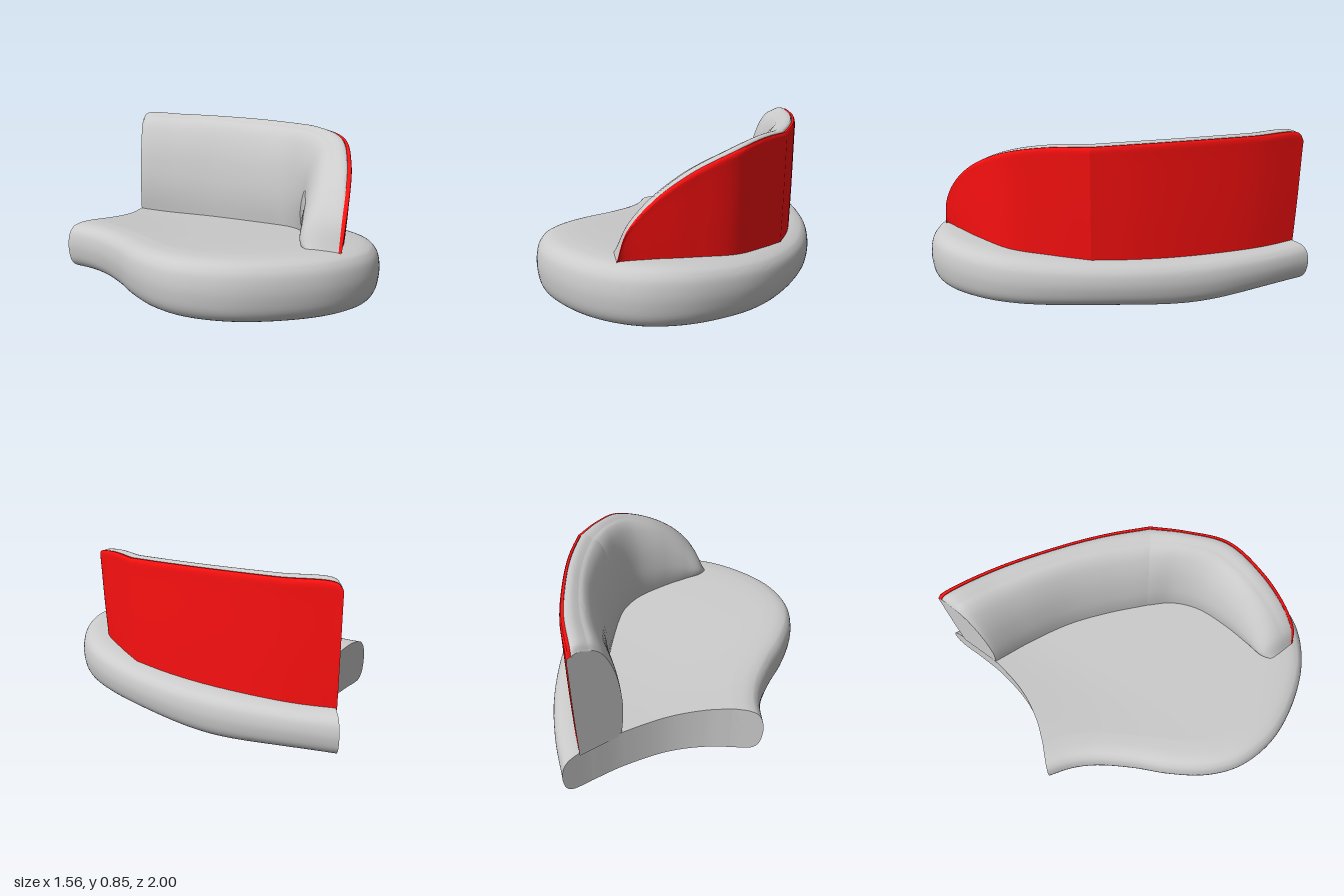
import * as THREE from 'three';
import { toCreasedNormals } from 'three/addons/utils/BufferGeometryUtils.js';

const V = (x, y, z) => new THREE.Vector3(x, y, z);
const grey = new THREE.MeshStandardMaterial({ color: 0xcccccc, side: THREE.DoubleSide });
const red = new THREE.MeshStandardMaterial({ color: 0xff1010, side: THREE.DoubleSide });
const smooth = (a, b, v) => {
  const t = Math.min(1, Math.max(0, (v - a) / (b - a)));
  return t * t * (3 - 2 * t);
};

// Heights of the seat's gently sloping top and bottom
const seatTop = (x, z) =>
  0.325 - 0.085 * smooth(-1, 0.6, -z) * (0.5 + 0.5 * smooth(-0.78, -0.1, x));
const seatBottom = (x, z) =>
  0.03 - 0.03 * Math.exp(-((x - 0.2) ** 2) / 0.15 - (z + 0.5) ** 2 / 0.1);

// Rows of cross-sections joined into a skin; the list of caps closes the first or last row
function skin(name, rows, material, caps = []) {
  const pos = [], index = [], m = rows[0].length;
  rows.forEach(r => r.forEach(p => pos.push(p.x, p.y, p.z)));
  for (let i = 0; i < rows.length - 1; i++) {
    for (let j = 0; j < m - 1; j++) {
      const a = i * m + j, b = a + m;
      index.push(a, a + 1, b, b, a + 1, b + 1);
    }
  }
  for (const i of caps) {
    const c = V(0, 0, 0);
    rows[i].forEach(p => c.addScaledVector(p, 1 / m));
    const centre = pos.length / 3;
    pos.push(c.x, c.y, c.z);
    for (let j = 0; j < m; j++) {
      const a = i * m + j, b = i * m + (j + 1) % m;
      index.push(centre, ...(i === 0 ? [b, a] : [a, b]));
    }
  }
  const g = new THREE.BufferGeometry();
  g.setAttribute('position', new THREE.Float32BufferAttribute(pos, 3));
  g.setIndex(index);
  const mesh = new THREE.Mesh(toCreasedNormals(g, 0.6), material);
  mesh.name = name;
  return mesh;
}

const planCurve = pts => new THREE.CatmullRomCurve3(pts.map(([x, z]) => V(x, 0, z)));
const profileCurve = (pts, n) =>
  new THREE.SplineCurve(pts.map(([x, y]) => new THREE.Vector2(x, y))).getPoints(n);

// Seat: rounded rim around a free-form outline, cut off by a concave end wall
function makeSeat() {
  const N = 110, fill = 10;
  const rim = planCurve([
    [-0.24, -1], [0, -0.83], [0.25, -0.61], [0.5, -0.31], [0.68, 0], [0.765, 0.25], [0.775, 0.45],
    [0.72, 0.68], [0.6, 0.85], [0.4, 0.96], [0.15, 0.995], [-0.1, 0.96], [-0.3, 0.85],
    [-0.42, 0.7], [-0.5, 0.5], [-0.55, 0.3], [-0.62, 0.1], [-0.69, -0.02], [-0.78, -0.12],
  ]);
  // Rim profile: inset from the outline, height fraction
  const profile = profileCurve([
    [0.16, 0], [0.085, 0.01], [0.04, 0.06], [0.012, 0.2], [0, 0.42], [0, 0.6],
    [0.01, 0.77], [0.03, 0.88], [0.05, 0.93], [0.09, 0.975], [0.16, 1],
  ], 36);
  const endDir = [V(-0.2, 0, 0.98), V(0.83, 0, -0.55)];
  const inward = u => {
    const t = rim.getTangentAt(u), n = V(-t.z, 0, t.x);
    n.lerp(endDir[0], 1 - smooth(0, 0.08, u)).lerp(endDir[1], smooth(0.94, 1, u));
    return n.normalize();
  };
  const at = (u, d) => rim.getPointAt(u).addScaledVector(inward(u), d);
  const a = at(0, 0.16), b = at(1, 0.16);
  const end = planCurve([
    [a.x, a.z], [-0.32, -0.67], [-0.42, -0.45], [-0.54, -0.3], [b.x, b.z],
  ]);
  const rows = [];
  for (let i = 0; i <= N; i++) {
    const u = i / N, e = end.getPointAt(u), inner = at(u, 0.16);
    const row = [], mid = k => e.clone().lerp(inner, k / fill);
    for (let k = 0; k < fill; k++) {
      const p = mid(k);
      row.push(p.setY(seatBottom(p.x, p.z)));
    }
    for (const q of profile) {
      const p = at(u, q.x);
      row.push(p.setY(THREE.MathUtils.lerp(seatBottom(p.x, p.z), seatTop(p.x, p.z), q.y)));
    }
    for (let k = fill - 1; k >= 0; k--) {
      const p = mid(k);
      row.push(p.setY(seatTop(p.x, p.z)));
    }
    row.push(row[0].clone());
    rows.push(row);
  }
  return skin('seat', rows, grey, [0, N]);
}

// Backrest profile: fraction from outer to inner line, height fraction
const shell = profileCurve([[0.1, 0], [0.05, 0.4], [0.01, 0.85], [0, 0.95], [0.03, 0.985], [0.09, 0.985]], 16);
const band = profileCurve([[0.09, 0.98], [0.13, 0.998], [0.25, 1], [0.4, 0.975]], 10);
const cushion = profileCurve([
  [0.4, 0.975], [0.52, 0.955], [0.67, 0.885], [0.82, 0.75], [0.93, 0.58], [1, 0.36], [1, 0.18], [0.95, 0],
], 24);

// One backrest section swept between an outer top edge (x, y, z) and an inner line (x, z)
function makeRest(name, outerPts, innerPts, N, cap) {
  const outer = new THREE.CatmullRomCurve3(outerPts.map(p => V(...p)));
  const inner = planCurve(innerPts);
  const sweep = profile => Array.from({ length: N + 1 }, (_, i) => {
    const o = outer.getPoint(i / N), n = inner.getPoint(i / N);
    return profile.map(q => {
      const x = THREE.MathUtils.lerp(o.x, n.x, q.x), z = THREE.MathUtils.lerp(o.z, n.z, q.x);
      const base = seatTop(x, z) - 0.015;
      return V(x, base + Math.max(0.005, o.y - base) * q.y, z);
    });
  });
  const group = new THREE.Group();
  group.name = name;
  group.add(
    skin(name + 'OuterPanel', sweep(shell), red),
    skin(name + 'TopBand', sweep(band), grey),
    skin(name + 'Cushion', sweep(cushion), grey),
  );
  // End closure
  const section = sweep([...shell, ...band, ...cushion]);
  const closing = skin(name + 'End', [section[cap ? N : 0]], grey, [0]);
  group.add(closing);
  return group;
}

export function createModel() {
  const model = new THREE.Group();
  model.name = 'curvedSofa';
  model.add(makeSeat());
  model.add(makeRest('backrest',
    [[-0.26, 0.815, -0.932], [-0.24, 0.843, -0.918], [-0.02, 0.846, -0.75], [0.25, 0.843, -0.48], [0.42, 0.838, -0.28], [0.555, 0.83, -0.09]],
    [[-0.32, -0.66], [-0.3, -0.645], [-0.13, -0.53], [0.06, -0.37], [0.21, -0.19], [0.34, 0]],
    50, false));
  model.add(makeRest('armrest',
    [[0.555, 0.83, -0.09], [0.61, 0.825, 0.1], [0.66, 0.79, 0.33], [0.605, 0.7, 0.56], [0.535, 0.58, 0.73], [0.48, 0.45, 0.83], [0.45, 0.31, 0.865]],
    [[0.34, 0], [0.41, 0.13], [0.43, 0.28], [0.385, 0.48], [0.335, 0.62], [0.3, 0.72], [0.31, 0.8]],
    60, true));
  return model;
}
